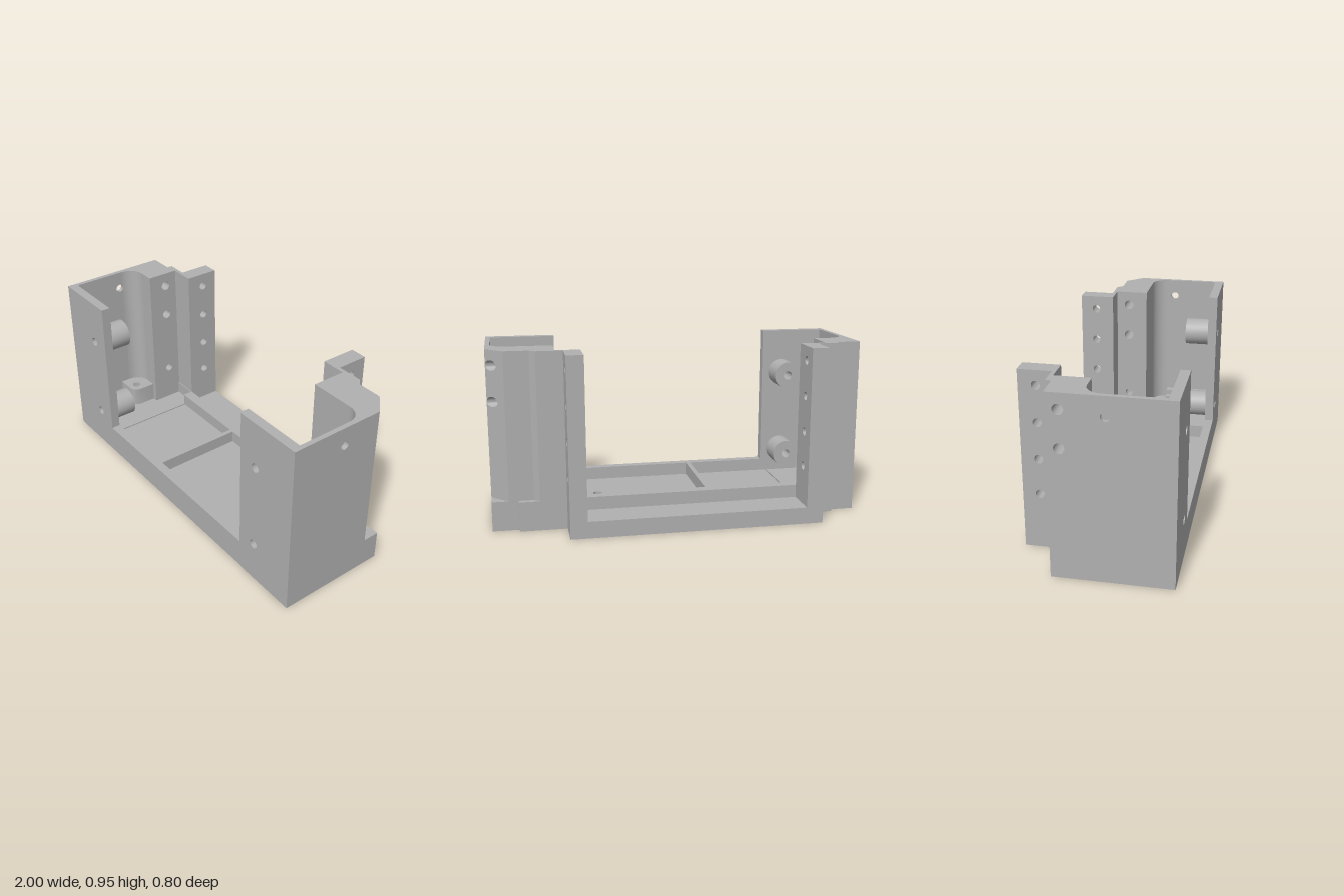
import * as THREE from 'three';
import { toCreasedNormals } from 'three/addons/utils/BufferGeometryUtils.js';

const TOP = 0.95, DECK = 0.16, FLOOR = 0.09;

// Closed shape from points, with round holes [u, v, r] or polygon holes (lists of points)
function makeShape(points, holes = []) {
  const shape = new THREE.Shape(points.map(([u, v]) => new THREE.Vector2(u, v)));
  for (const h of holes) {
    const path = new THREE.Path();
    if (Array.isArray(h[0])) path.setFromPoints(h.map(([u, v]) => new THREE.Vector2(u, v)));
    else path.absarc(h[0], h[1], h[2], 0, Math.PI * 2, true);
    shape.holes.push(path);
  }
  return shape;
}

const rect = (u0, v0, u1, v1) => [[u0, v0], [u1, v0], [u1, v1], [u0, v1]];
const extrude = (shape, depth) =>
  new THREE.ExtrudeGeometry(shape, { depth, bevelEnabled: false, curveSegments: 14 });

// Plan outline in (x, z), raised from y0 to y1
function plan(points, y0, y1, holes = []) {
  const flip = (list) => list.map(([x, z]) => [x, -z]);
  const flipped = holes.map((h) => (Array.isArray(h[0]) ? flip(h) : [h[0], -h[1], h[2]]));
  return extrude(makeShape(flip(points), flipped), y1 - y0).rotateX(-Math.PI / 2).translate(0, y0, 0);
}

// Upright slab spanning z0..z1 and y0..y1, running from x0 to x1, holes [z, y, r] along x
function slab(x0, x1, z0, z1, y0, y1, holes = []) {
  const shape = makeShape(rect(-z1, y0, -z0, y1), holes.map(([z, y, r]) => [-z, y, r]));
  return extrude(shape, x1 - x0).rotateY(Math.PI / 2).translate(x0, 0, 0);
}

export function createModel() {
  const group = new THREE.Group();
  const grey = new THREE.MeshStandardMaterial({ color: 0xb0b0b0 });
  grey.name = 'plain grey';
  const add = (name, geometry) => {
    const mesh = new THREE.Mesh(toCreasedNormals(geometry, 0.5), grey);
    mesh.name = name;
    group.add(mesh);
  };

  // Bottom plate with two narrow slits
  add('bottomPlate', plan([
    [-1, 0.4], [1, 0.4], [1, -0.2], [0.86, -0.2], [0.86, -0.23], [0.61, -0.23], [0.61, -0.4],
    [-0.75, -0.4], [-0.75, -0.23], [-0.865, -0.23], [-0.865, -0.2], [-1, -0.2],
  ], 0, FLOOR, [rect(-0.66, -0.2, -0.652, 0.35), rect(0.507, -0.14, 0.515, 0.35)]));

  // Raised frame around the recessed pockets
  add('baseFrame', plan([
    [-1, 0.4], [1, 0.4], [1, -0.2], [0.86, -0.2], [0.86, -0.23], [0.61, -0.23], [0.61, -0.21],
    [-0.75, -0.21], [-0.75, -0.23], [-0.865, -0.23], [-0.865, -0.2], [-1, -0.2],
  ], FLOOR, DECK, [
    [[-0.975, 0.35], [-0.975, -0.03], [-0.8, -0.03], [-0.8, -0.205], [-0.66, -0.205],
      [-0.66, -0.15], [-0.18, -0.15], [-0.18, 0.35]],
    [[-0.155, 0.35], [-0.155, -0.15], [0.31, -0.15], [0.31, -0.02], [0.515, -0.02], [0.515, 0.35]],
    [0.44, -0.14, 0.024],
  ]));

  // Front walls, side walls, screw bosses and rounded inner corners
  for (const s of [-1, 1]) {
    const side = s < 0 ? 'right' : 'left';
    const span = (a, b) => [Math.min(s * a, s * b), Math.max(s * a, s * b)];
    const screws = [0.225, 0.7].map((y) => [s * 0.737, y, 0.025]);
    const [fx0, fx1] = span(0.62, 1);
    add(side + 'FrontWall',
      extrude(makeShape(rect(fx0, DECK, fx1, TOP), screws), 0.05).translate(0, 0, 0.35));
    for (const [x, y, r] of screws) {
      const ring = new THREE.Shape();
      ring.absarc(x, y, 0.078, 0, Math.PI * 2, false);
      ring.holes.push(new THREE.Path().absarc(x, y, r, 0, Math.PI * 2, true));
      add(side + 'ScrewBoss', extrude(ring, 0.14).translate(0, 0, 0.21));
    }
    const [wx0, wx1] = span(0.975, 1);
    add(side + 'SideWall',
      slab(wx0, wx1, -0.03, 0.35, DECK, TOP, [[s < 0 ? 0.075 : 0.098, 0.85, 0.023]]));
    const corner = [[s * 0.975, -0.03]];
    for (let i = 0; i <= 8; i++) {
      const a = (i / 8) * Math.PI / 2;
      corner.push([s * (0.89 + 0.085 * Math.sin(a)), 0.055 - 0.085 * Math.cos(a)]);
    }
    add(side + 'RoundedCorner', plan(corner, s < 0 ? FLOOR : DECK, TOP));
  }

  // Rear blocks, drilled along x; the lowest hole is blind
  const through = [0.68, 0.87].map((y) => [-0.138, y, 0.027]);
  const inner = [[-0.138, 0.3, 0.023], ...through];
  add('rightRearBlock', slab(-1, -0.86, -0.2, -0.03, DECK, TOP, through));
  add('rightRearBlockInner', slab(-0.86, -0.8, -0.2, -0.03, DECK, TOP, inner));
  add('leftRearBlockInner', slab(0.65, 0.71, -0.2, -0.03, DECK, TOP, inner));
  add('leftRearBlock', slab(0.71, 0.9, -0.2, -0.03, DECK, TOP, through));
  add('leftOuterBlock', slab(0.9, 1, -0.11, -0.03, DECK, TOP));

  // Slanted outer corner: the end face of a drilled slab is sheared
  const slant = slab(0.9, 1, -0.2, -0.11, DECK, TOP, through);
  const pos = slant.attributes.position;
  for (let i = 0; i < pos.count; i++) {
    if (pos.getX(i) > 0.95) pos.setX(i, 0.91 + pos.getZ(i) + 0.2);
  }
  add('leftSlantedCorner', slant);

  // Thin webs joining the blocks to the drilled rear columns
  add('rightWeb', plan([[-0.865, -0.2], [-0.8, -0.2], [-0.8, -0.21], [-0.7, -0.21],
    [-0.7, -0.23], [-0.865, -0.23]], DECK, TOP));
  add('leftWeb', plan([[0.56, -0.21], [0.65, -0.21], [0.65, -0.2], [0.78, -0.2],
    [0.75, -0.23], [0.56, -0.23]], DECK, TOP));
  const columnHoles = [0.3, 0.49, 0.683, 0.873].map((y) => [-0.312, y, 0.023]);
  add('rightColumn', slab(-0.75, -0.66, -0.4, -0.21, FLOOR, TOP, columnHoles));
  add('leftColumn', slab(0.52, 0.61, -0.4, -0.21, FLOOR, TOP, columnHoles));

  // Low post and stepped ledge inside the towers
  add('cornerPost', plan([[-0.975, -0.03], [-0.83, -0.03], [-0.83, 0.07], [-0.842, 0.098],
    [-0.87, 0.11], [-0.975, 0.11]], FLOOR, 0.2, [[-0.89, 0.055, 0.024]]));
  add('lowerStep', plan(rect(0.89, 0.06, 0.975, 0.35), DECK, 0.19));
  add('upperStep', plan(rect(0.925, 0.06, 0.975, 0.35), 0.19, 0.22));

  return group;
}
